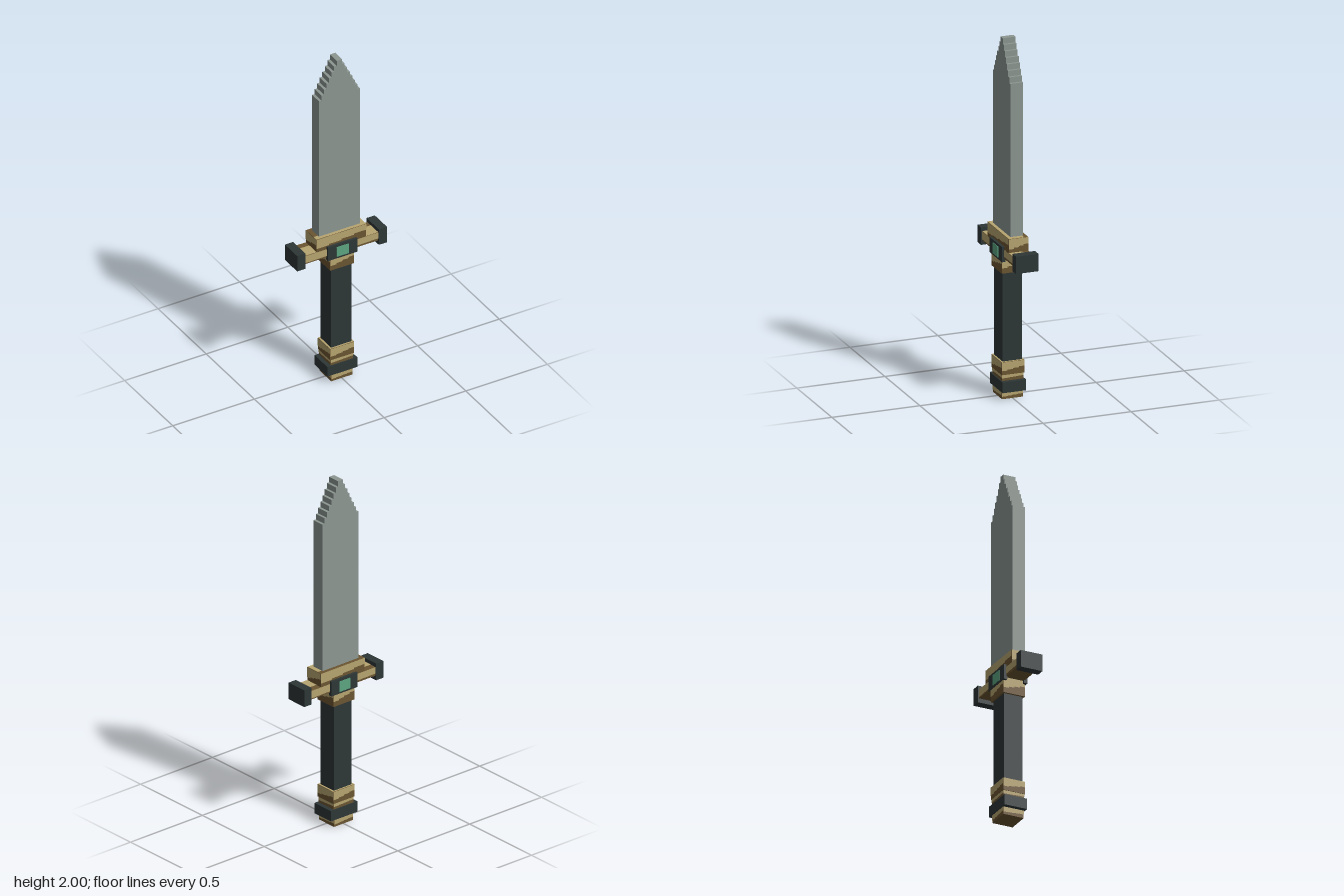
import * as THREE from 'three';

const mat = (name, color) => Object.assign(new THREE.MeshStandardMaterial({ color }), { name });

export function createModel() {
  const steel = mat('steel', 0x8c9691);
  const dark = mat('dark leather', 0x2d3636);
  const gold = mat('gold', 0xb7a570);
  const bronze = mat('bronze', 0x6b5532);
  const green = mat('green gem', 0x5ba580);
  const LIFT = 0.0015;

  const group = new THREE.Group();
  group.name = 'dagger';

  const add = (parent, name, geometry, material) => {
    const mesh = new THREE.Mesh(geometry, material);
    mesh.name = name;
    parent.add(mesh);
    return mesh;
  };
  // Box from half-width, bottom, top and half-depth
  const box = (parent, name, hx, y0, y1, hz, material, x = 0, z = 0) => {
    const mesh = add(parent, name, new THREE.BoxGeometry(hx * 2, y1 - y0, hz * 2), material);
    mesh.position.set(x, (y0 + y1) / 2, z);
    return mesh;
  };
  // Flat inlay lying on a horizontal top face
  const topInlay = (parent, name, x0, x1, z0, z1, y, material) => {
    const mesh = add(parent, name, new THREE.PlaneGeometry(x1 - x0, z1 - z0), material);
    mesh.rotation.x = -Math.PI / 2;
    mesh.position.set((x0 + x1) / 2, y + LIFT, (z0 + z1) / 2);
  };
  // Face whose lower edge climbs in pixel steps from yl to yr
  const steppedFace = (h, yl, yr, top, steps = 4) => {
    const s = new THREE.Shape();
    s.moveTo(h, top);
    s.lineTo(-h, top);
    for (let i = 0; i < steps; i++) {
      const y = yl + (yr - yl) * i / (steps - 1);
      s.lineTo(-h + 2 * h * i / steps, y);
      s.lineTo(-h + 2 * h * (i + 1) / steps, y);
    }
    return new THREE.ShapeGeometry(s);
  };
  // Bronze block with stepped gold faces on all four sides
  const gilded = (name, hx, y0, y1, hz, yl, yr) => {
    const part = new THREE.Group();
    part.name = name;
    group.add(part);
    box(part, name + 'Core', hx, y0, y1, hz, bronze);
    for (let k = 0; k < 4; k++) {
      const [half, out] = k % 2 ? [hz, hx] : [hx, hz];
      const face = add(part, name + 'GoldFace', steppedFace(half, yl, yr, y1), gold);
      const a = k * Math.PI / 2;
      face.rotation.y = a;
      face.position.set(Math.sin(a) * (out + LIFT), 0, Math.cos(a) * (out + LIFT));
    }
    return part;
  };

  // Blade: straight sides, then a stepped point
  const half = [[0.125, 0.9], [0.125, 1.78]];
  for (let k = 1; k <= 7; k++) {
    const w = 0.125 - 0.0155 * k;
    half.push([w, 1.78 + 0.0314 * (k - 1)], [w, 1.78 + 0.0314 * k]);
  }
  const outline = [...half, ...half.map(([x, y]) => [-x, y]).reverse()];
  const bladeGeo = new THREE.ExtrudeGeometry(
    new THREE.Shape(outline.map(([x, y]) => new THREE.Vector2(x, y))),
    { depth: 0.072, bevelEnabled: false });
  bladeGeo.translate(0, 0, -0.036);
  add(group, 'blade', bladeGeo, steel);

  // Blade collar with an L-shaped shadowed corner on top
  const collar = gilded('bladeCollar', 0.152, 0.84, 0.922, 0.055, 0.865, 0.886);
  topInlay(collar, 'collarTopRight', 0.12, 0.152, -0.03, 0.055, 0.922, gold);
  topInlay(collar, 'collarTopFront', -0.152, 0.12, 0.025, 0.055, 0.922, gold);

  // Cross guard with end caps
  box(group, 'crossGuard', 0.23, 0.793, 0.844, 0.056, bronze);
  for (const s of [-1, 1]) {
    topInlay(group, 'guardTopGold', s < 0 ? -0.225 : 0.152, s < 0 ? -0.152 : 0.225, -0.02, 0.056, 0.844, gold);
    const face = add(group, 'guardSideGold', steppedFace(0.225, 0.8, 0.806, 0.844, 10), gold);
    face.position.z = s * (0.056 + LIFT);
    if (s < 0) face.rotation.y = Math.PI;
    box(group, 'guardCap', 0.025, 0.769, 0.866, 0.064, dark, s * 0.25);
    // Gem on each side of the guard
    box(group, 'gemSetting', 0.09, 0.775, 0.86, 0.01, dark, 0, s * 0.06);
    box(group, 'gem', 0.037, 0.786, 0.846, 0.003, green, 0, s * 0.07);
  }

  // Grip and its upper ferrule
  gilded('upperFerrule', 0.073, 0.705, 0.8, 0.064, 0.735, 0.757);
  box(group, 'grip', 0.062, 0.19, 0.72, 0.055, dark);

  // Lower ferrule
  const ferrule = gilded('lowerFerrule', 0.073, 0.137, 0.208, 0.064, 0.16, 0.176);
  topInlay(ferrule, 'ferruleTop', -0.073, 0.073, -0.064, 0.064, 0.208, gold);
  gilded('ferruleNeck', 0.069, 0.1, 0.137, 0.061, 0.118, 0.122);

  // Pommel
  box(group, 'pommelRing', 0.092, 0.043, 0.103, 0.067, dark);
  gilded('pommelTip', 0.065, 0, 0.043, 0.06, 0.014, 0.02);

  return group;
}
